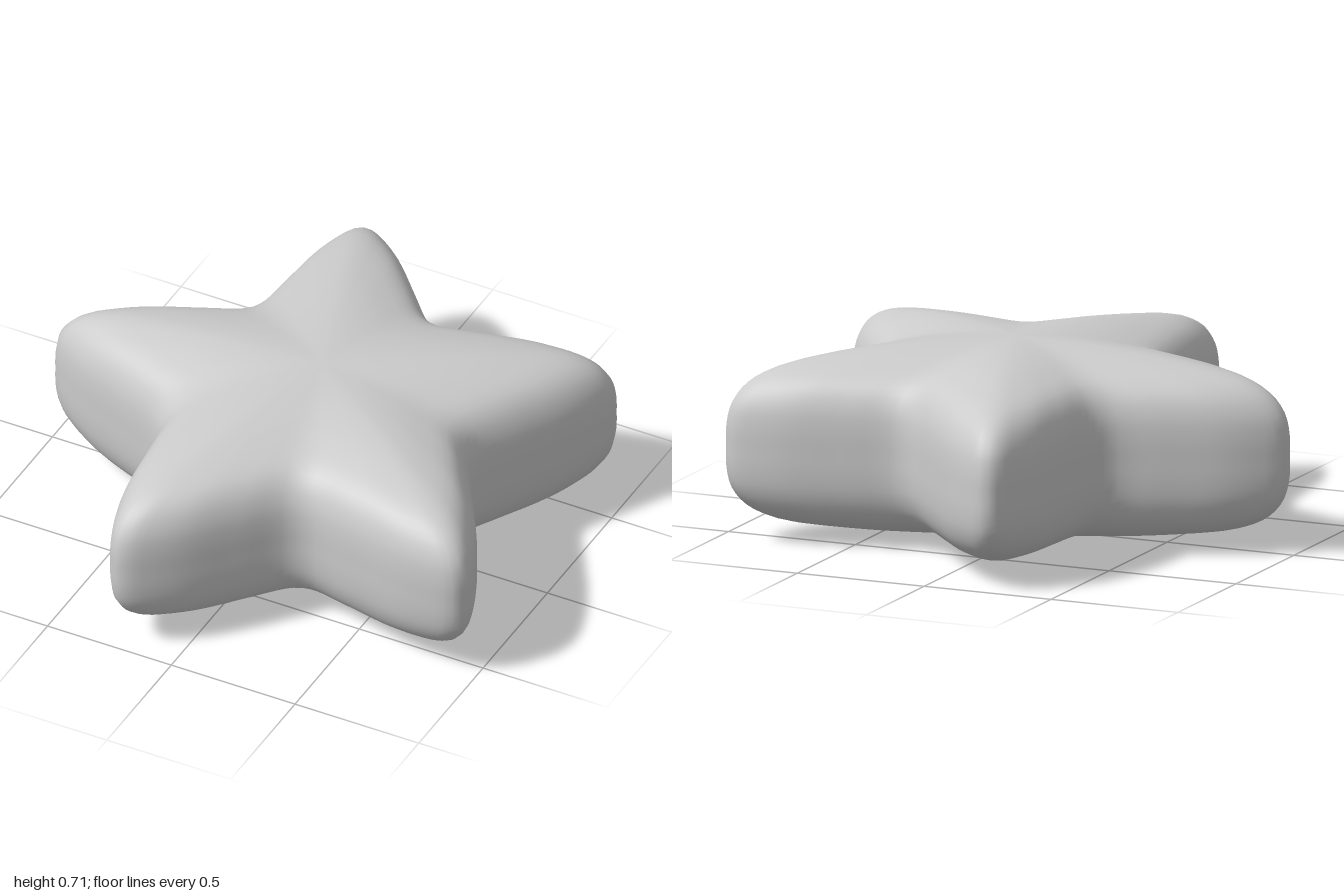
import * as THREE from 'three';

const ARMS = 5;
const STEPS = 200; // points around the outline
const MID = 0.355; // half the thickness

// Star outline: one half arm as (distance along the arm, half width), mirrored and repeated
function starOutline() {
  const half = [[0.49, 0.356], [0.535, 0.315], [0.69, 0.245], [0.89, 0.155], [1.005, 0.08], [1.05, 0.038]];
  const arm = [
    ...half.map(([d, w]) => [d, -w]),
    [1.065, 0],
    ...half.slice(1).reverse(),
  ];
  const points = [];
  for (let i = 0; i < ARMS; i++) {
    const a = Math.PI - 0.02 + (i * 2 * Math.PI) / ARMS;
    for (const [d, w] of arm) {
      points.push(new THREE.Vector3(
        d * Math.cos(a) - w * Math.sin(a), 0, d * Math.sin(a) + w * Math.cos(a)));
    }
  }
  return new THREE.CatmullRomCurve3(points, true, 'centripetal').getSpacedPoints(STEPS).slice(0, STEPS);
}

// Puffy side profile (scale of the outline, height from the middle), bottom to top
function puffProfile() {
  const upper = [[1, 0.08], [0.982, 0.155], [0.93, 0.222], [0.836, 0.272], [0.65, 0.31],
    [0.46, 0.334], [0.25, 0.349], [0, MID]];
  const points = [
    ...upper.map(([s, h]) => new THREE.Vector3(s, -h, 0)).reverse(),
    new THREE.Vector3(1.002, 0, 0),
    ...upper.map(([s, h]) => new THREE.Vector3(s, h, 0)),
  ];
  return new THREE.CatmullRomCurve3(points, false, 'centripetal').getPoints(48);
}

// Skin the scaled outlines in rows, closed by one point at each pole
function starGeometry() {
  const outline = starOutline();
  const rows = puffProfile().slice(1, -1);
  const positions = [];
  const index = [];
  for (const row of rows) {
    for (const p of outline) positions.push(p.x * row.x, MID + row.y, p.z * row.x);
  }
  const bottom = rows.length * STEPS;
  const top = bottom + 1;
  positions.push(0, 0, 0, 0, 2 * MID, 0);
  const last = (rows.length - 1) * STEPS;
  for (let i = 0; i < STEPS; i++) {
    const n = (i + 1) % STEPS;
    for (let r = 0; r < last; r += STEPS) {
      const a = r + i, b = r + n;
      index.push(a, a + STEPS, b, b, a + STEPS, b + STEPS);
    }
    index.push(bottom, i, n, last + i, top, last + n);
  }
  const geometry = new THREE.BufferGeometry();
  geometry.setAttribute('position', new THREE.Float32BufferAttribute(positions, 3));
  geometry.setIndex(index);
  geometry.computeVertexNormals();
  // Centre the footprint
  geometry.computeBoundingBox();
  const c = geometry.boundingBox.getCenter(new THREE.Vector3());
  geometry.translate(-c.x, 0, -c.z);
  return geometry;
}

export function createModel() {
  const group = new THREE.Group();
  group.name = 'puffyStar';
  const star = new THREE.Mesh(starGeometry(), new THREE.MeshStandardMaterial({ color: 0xcccccc }));
  star.name = 'starBody';
  group.add(star);
  return group;
}
